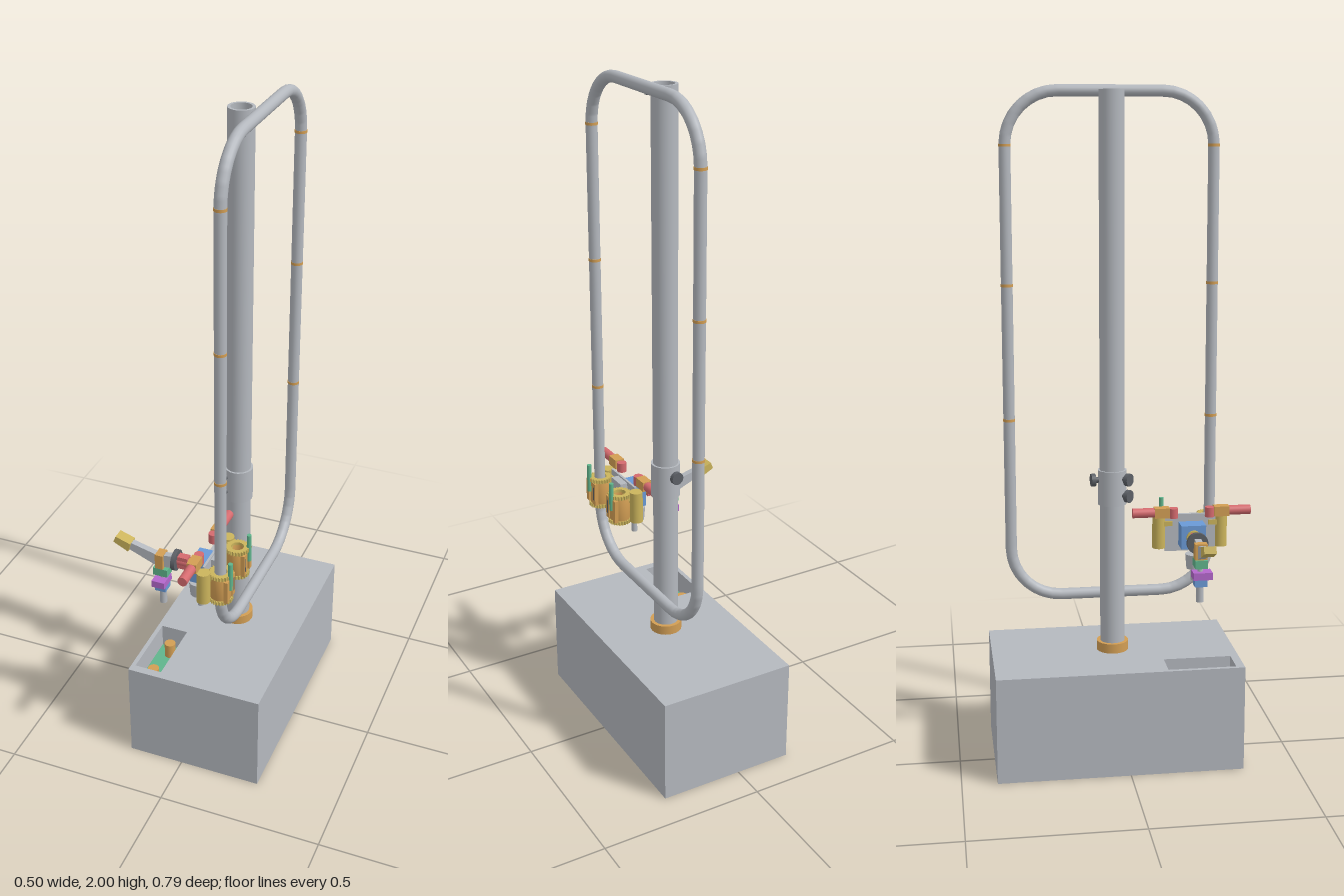
import * as THREE from 'three';

const mat = (name, color, side = THREE.FrontSide) => {
  const m = new THREE.MeshStandardMaterial({ color, side });
  m.name = name;
  return m;
};

export function createModel() {
  const root = new THREE.Group();
  root.name = 'loopTrackRobot';
  const grey = mat('metalGrey', 0xb4b8be, THREE.DoubleSide);
  const dark = mat('darkGrey', 0x5c6066);
  const orange = mat('bronze', 0xd29e54);
  const yellow = mat('brass', 0xcbb45c);
  const red = mat('red', 0xd46a6e);
  const green = mat('green', 0x60b48c);
  const blue = mat('blue', 0x6a9ad6);
  const purple = mat('purple', 0xb468cc);

  const add = (name, geo, m, x = 0, y = 0, z = 0, parent = root) => {
    const mesh = new THREE.Mesh(geo, m);
    mesh.name = name;
    mesh.position.set(x, y, z);
    parent.add(mesh);
    return mesh;
  };
  // box given by its limits on each axis
  const box = (name, m, x0, x1, y0, y1, z0, z1, parent) =>
    add(name, new THREE.BoxGeometry(x1 - x0, y1 - y0, z1 - z0), m,
      (x0 + x1) / 2, (y0 + y1) / 2, (z0 + z1) / 2, parent);
  // cylinder centred at a point and aligned with an axis
  const cyl = (name, m, r, len, axis, x, y, z, parent, r2 = r) => {
    const g = new THREE.CylinderGeometry(r, r2, len, 24);
    if (axis === 'x') g.rotateZ(-Math.PI / 2);
    if (axis === 'z') g.rotateX(Math.PI / 2);
    return add(name, g, m, x, y, z, parent);
  };
  const rect = (T, x0, x1, z0, z1) => {
    const s = new T();
    s.moveTo(x0, -z1).lineTo(x1, -z1).lineTo(x1, -z0).lineTo(x0, -z0).closePath();
    return s;
  };

  // base with a sunken control tray
  box('base', grey, -0.17, 0.25, 0, 0.24, -0.395, 0.34);
  const top = rect(THREE.Shape, -0.17, 0.25, -0.395, 0.34);
  top.holes.push(rect(THREE.Path, -0.157, -0.073, 0.112, 0.315));
  const topGeo = new THREE.ExtrudeGeometry(top, { depth: 0.082, bevelEnabled: false });
  topGeo.rotateX(-Math.PI / 2);
  add('baseTop', topGeo, grey, 0, 0.24, 0);
  box('trayFloor', green, -0.157, -0.073, 0.24, 0.248, 0.112, 0.315);
  for (const z of [0.15, 0.277]) cyl('trayPlug', orange, 0.017, 0.05, 'y', -0.115, 0.27, z);

  // hollow pole, foot collar and sliding sleeve
  const px = 0.043, pz = -0.028;
  const pole = [[0.037, 0.32], [0.037, 1.985], [0.029, 1.985], [0.029, 1.95], [0.017, 1.95],
    [0.017, 1.965], [0.014, 1.965], [0.014, 1.95], [0, 1.95]];
  for (let i = 0; i < pole.length - 1; i++) {
    const pts = [pole[i], pole[i + 1]].map(p => new THREE.Vector2(p[0], p[1]));
    add('pole', new THREE.LatheGeometry(pts, 32), grey, px, 0, pz);
  }
  cyl('footCollar', orange, 0.048, 0.03, 'y', px, 0.336, pz);
  cyl('sleeve', grey, 0.043, 0.105, 'y', px, 0.832, pz);
  // clamp knobs set radially on the sleeve
  const knob = (angle, y) => {
    const g = new THREE.Group();
    g.name = 'clampKnob';
    g.position.set(px, y, pz);
    g.rotation.y = angle;
    cyl('knobStem', dark, 0.009, 0.02, 'x', 0.045, 0, 0, g);
    cyl('knobHead', dark, 0.019, 0.013, 'x', 0.058, 0, 0, g);
    root.add(g);
  };
  knob(Math.PI * 0.53, 0.855);
  knob(-Math.PI * 0.73, 0.81);
  knob(-Math.PI * 0.73, 0.86);

  // rounded rectangular track
  const tx = 0.107, r = 0.152, zF = 0.281, zB = -0.328, yB = 0.482, yT = 1.983;
  const pts = [];
  const corners = [[zF - r, yT - r, 0], [zB + r, yT - r, 1], [zB + r, yB + r, 2], [zF - r, yB + r, 3]];
  for (const [z, y, q] of corners) {
    for (let i = 0; i <= 8; i++) {
      const a = (q + i / 8) * Math.PI / 2;
      pts.push(new THREE.Vector3(tx, y + r * Math.sin(a), z + r * Math.cos(a)));
    }
  }
  const path = new THREE.CurvePath();
  pts.forEach((p, i) => path.add(new THREE.LineCurve3(p, pts[(i + 1) % pts.length])));
  add('trackLoop', new THREE.TubeGeometry(path, 360, 0.017, 16, true), grey);
  for (const z of [zF, zB]) {
    for (const y of [1.83, 1.43, 1.03]) cyl('trackJoint', orange, 0.0178, 0.008, 'y', tx, y, z);
  }
  box('trackBracket', dark, 0.076, 0.099, 1.96, 1.98, -0.036, -0.021);

  // toothed ring for the grippers
  const gear = new THREE.Shape();
  for (let i = 0; i < 96; i++) {
    const a = i / 96 * Math.PI * 2, rad = i % 4 < 2 ? 0.036 : 0.032;
    gear[i ? 'lineTo' : 'moveTo'](rad * Math.cos(a), rad * Math.sin(a));
  }
  gear.closePath();
  gear.holes.push(new THREE.Path().absarc(0, 0, 0.019, 0, Math.PI * 2, true));
  const gearGeo = new THREE.ExtrudeGeometry(gear, { depth: 0.012, bevelEnabled: false, curveSegments: 20 });
  gearGeo.rotateX(-Math.PI / 2);
  const shell = [[0.019, 0], [0.031, 0], [0.031, 0.08], [0.019, 0.08], [0.019, 0]]
    .map(p => new THREE.Vector2(...p));
  const shellGeo = new THREE.LatheGeometry(shell, 24);

  // mirrored pair of track grippers with their motors
  for (const s of [-1, 1]) {
    const g = new THREE.Group();
    g.name = s > 0 ? 'frontGripper' : 'rearGripper';
    g.position.z = 0.2125;
    root.add(g);
    const z = s * 0.0655;
    const zbox = (name, m, x0, x1, y0, y1, a, b) =>
      box(name, m, x0, x1, y0, y1, Math.min(s * a, s * b), Math.max(s * a, s * b), g);
    for (const y of [0.628, 0.713]) add('gripGear', gearGeo, yellow, tx, y, z, g);
    add('gripShell', shellGeo, orange, tx, 0.636, z, g);
    zbox('gripPlate', orange, 0.128, 0.14, 0.64, 0.713, 0.038, 0.058);
    zbox('gripPlate', orange, 0.128, 0.14, 0.64, 0.713, 0.082, 0.098);
    zbox('gripSlot', dark, 0.137, 0.1405, 0.655, 0.70, 0.045, 0.051);
    cyl('latchPin', green, 0.007, 0.09, 'y', 0.14, 0.722, s * 0.0755, g);
    cyl('driveGear', yellow, 0.02, 0.1, 'y', 0.065, 0.68, s * 0.095, g);
    zbox('gearbox', orange, 0.021, 0.051, 0.733, 0.763, 0.068, 0.114);
    cyl('motor', red, 0.0145, 0.066, 'z', 0.036, 0.748, s * 0.147, g);
    cyl('motorCap', red, 0.0145, 0.03, 'y', 0.036, 0.745, s * 0.0555, g);
    zbox('gripArm', yellow, 0.05, 0.09, 0.70, 0.715, 0.055, 0.09);
  }

  // carriage body
  box('carriagePlate', grey, 0.055, 0.062, 0.62, 0.735, 0.135, 0.29);
  box('carriageBack', grey, 0.06, 0.085, 0.62, 0.73, 0.182, 0.243);
  box('carriageBody', blue, 0, 0.055, 0.64, 0.712, 0.176, 0.251);
  cyl('sensorPod', grey, 0.028, 0.045, 'y', 0.012, 0.6, 0.218, root, 0.024);
  cyl('sensorTip', grey, 0.009, 0.035, 'y', 0.02, 0.555, 0.218);

  // wrist joint
  const wz = 0.213, wy = 0.676;
  cyl('wristFlange', yellow, 0.022, 0.008, 'x', -0.004, wy, wz);
  cyl('wristHub', orange, 0.015, 0.012, 'x', -0.013, wy, wz);
  cyl('wristMotor', red, 0.014, 0.04, 'x', -0.036, wy, wz);
  box('wristBlock', red, -0.052, -0.02, 0.656, 0.696, 0.201, 0.225);
  cyl('wristDisc', dark, 0.032, 0.013, 'x', -0.06, wy, wz);

  // tapered arm with its slanted jaw
  const slab = (name, m, outline, z0, z1) => {
    const shape = new THREE.Shape(outline.map(p => new THREE.Vector2(...p)));
    add(name, new THREE.ExtrudeGeometry(shape, { depth: z1 - z0, bevelEnabled: false }), m, 0, 0, z0);
  };
  slab('arm', grey, [[-0.226, 0.69], [-0.12, 0.645], [-0.06, 0.65], [-0.06, 0.692],
    [-0.12, 0.685], [-0.218, 0.71]], 0.203, 0.223);
  slab('jaw', yellow, [[-0.255, 0.702], [-0.208, 0.678], [-0.2, 0.706], [-0.247, 0.722]], 0.195, 0.231);

  // tool hanging from the arm
  box('toolClamp', orange, -0.121, -0.096, 0.642, 0.69, 0.195, 0.232);
  box('toolMount', green, -0.128, -0.082, 0.617, 0.642, 0.195, 0.232);
  cyl('toolNeck', grey, 0.008, 0.02, 'y', -0.104, 0.61, wz);
  box('toolHolder', purple, -0.127, -0.086, 0.582, 0.604, 0.19, 0.247);
  box('toolBody', blue, -0.123, -0.089, 0.56, 0.582, 0.195, 0.232);
  cyl('toolProbe', grey, 0.011, 0.05, 'y', -0.104, 0.535, wz);

  return root;
}
